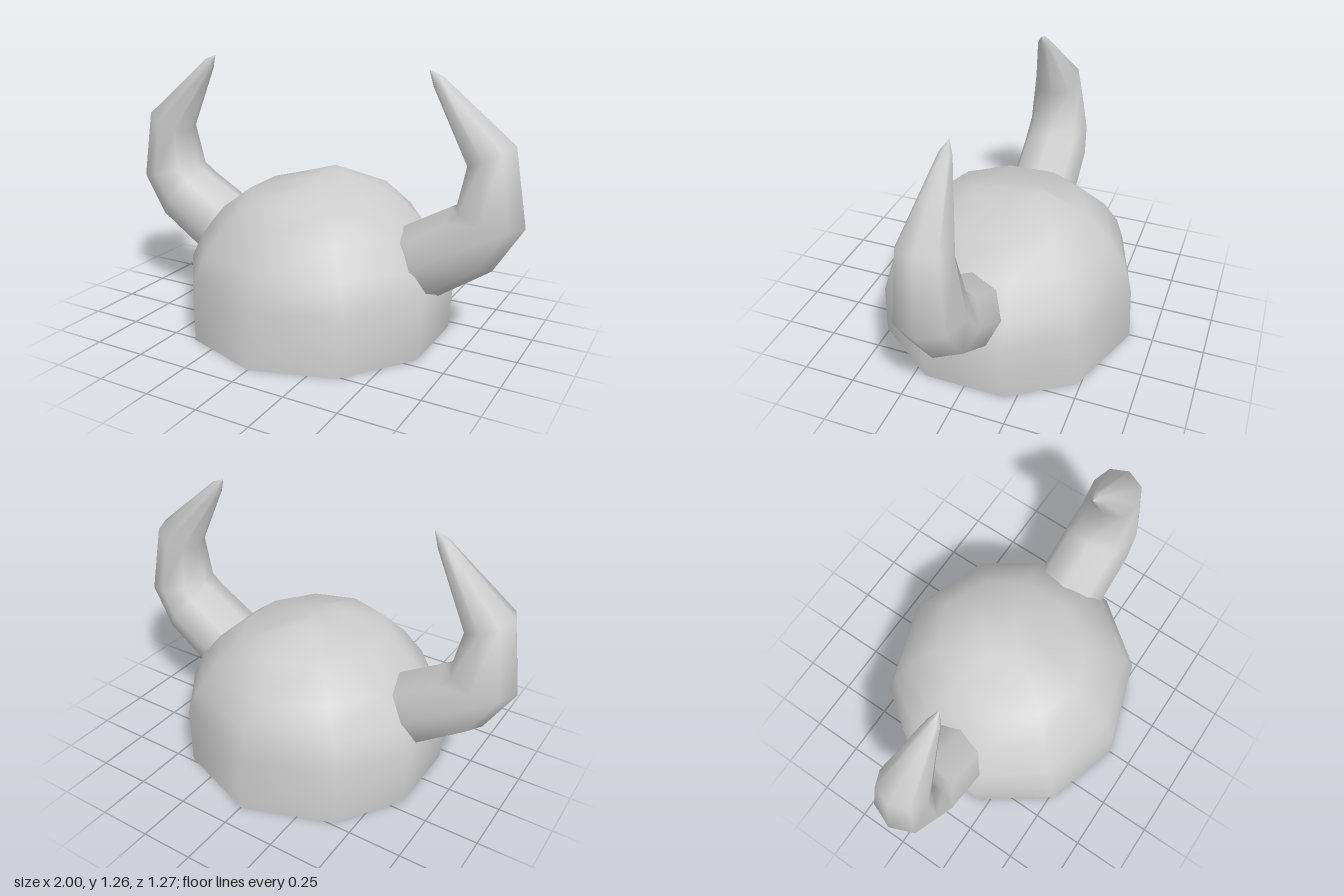
import * as THREE from 'three';
import { toCreasedNormals } from 'three/addons/utils/BufferGeometryUtils.js';

// Skin a list of equal-length vertex rings, skipping collapsed triangles.
function loft(rings) {
  const pos = [];
  const tri = (a, b, c) => {
    const n = b.clone().sub(a).cross(c.clone().sub(a));
    if (n.length() > 1e-8) for (const p of [a, b, c]) pos.push(p.x, p.y, p.z);
  };
  for (let i = 0; i < rings.length - 1; i++) {
    const lo = rings[i], hi = rings[i + 1], n = lo.length;
    for (let j = 0; j < n; j++) {
      const k = (j + 1) % n;
      tri(lo[j], lo[k], hi[k]);
      tri(lo[j], hi[k], hi[j]);
    }
  }
  const geo = new THREE.BufferGeometry();
  geo.setAttribute('position', new THREE.Float32BufferAttribute(pos, 3));
  return toCreasedNormals(geo, 1.1);
}

// Ten-sided dome: [front y, back y, front z, back z, half width, ridge drop]
const DOME = [
  [0, 0, 0.635, 0.635, 0.605, 0],
  [0.27, 0.27, 0.615, 0.62, 0.625, 0],
  [0.4, 0.4, 0.56, 0.585, 0.565, 0],
  [0.54, 0.53, 0.46, 0.51, 0.46, 0],
  [0.64, 0.66, 0.365, 0.38, 0.32, 0],
  [0.7, 0.74, 0.17, 0.165, 0.12, 0.2],
  [0.722, 0.722, 0, 0, 0, 0],
];
const DOME_ANGLES = [0, 36, 72, 108, 140, 180, 220, 252, 288, 324];

function domeRing([yf, yb, zf, zb, w, drop], wall) {
  const shrink = 1 - wall / 0.63;
  return DOME_ANGLES.map((deg) => {
    const a = THREE.MathUtils.degToRad(deg), c = Math.cos(a);
    const x = (Math.sin(a) * w) / Math.sin(Math.PI * 0.4);
    const y = THREE.MathUtils.lerp(yb, yf, (c + 1) / 2) - drop * Math.abs(x);
    return new THREE.Vector3(x * shrink, y * shrink, c * (c > 0 ? zf : zb) * shrink);
  });
}

// Horn sections: [outer x, outer y, inner x, inner y, centre z, half depth]
const HORN = [
  [0.54, 0.4, 0.54, 0.4, 0.01, 0],
  [0.605, 0.23, 0.42, 0.53, 0.01, 0.175],
  [0.635, 0.25, 0.45, 0.55, 0.01, 0.178],
  [0.865, 0.41, 0.66, 0.67, 0.015, 0.175],
  [0.998, 0.625, 0.695, 0.69, 0.02, 0.16],
  [0.94, 0.975, 0.735, 0.87, 0.03, 0.125],
  [0.615, 1.24, 0.575, 1.19, 0.04, 0.03],
  [0.552, 1.263, 0.552, 1.263, 0.04, 0],
];
// Collapsed start section sits in the middle of the base cap.
HORN[0].splice(0, 4, 0.5125, 0.38, 0.5125, 0.38);

function hornRing([ox, oy, ix, iy, z, depth], side) {
  return Array.from({ length: 8 }, (_, j) => {
    const a = (j / 8) * Math.PI * 2, t = (1 + Math.cos(a)) / 2;
    return new THREE.Vector3(
      side * THREE.MathUtils.lerp(ix, ox, t),
      THREE.MathUtils.lerp(iy, oy, t),
      z - side * Math.sin(a) * depth
    );
  });
}

export function createModel() {
  const group = new THREE.Group();
  group.name = 'hornedHelmet';
  const material = new THREE.MeshStandardMaterial({ color: 0xcccccc });
  const add = (name, geometry) => {
    const mesh = new THREE.Mesh(geometry, material);
    mesh.name = name;
    group.add(mesh);
  };

  // Shell: inner wall downwards, around the rim, then up the outside
  const inner = DOME.map((s) => domeRing(s, 0.02)).reverse();
  const outer = DOME.map((s) => domeRing(s, 0));
  add('dome', loft([...inner, ...outer]));

  // Curved horns, one on each side
  add('leftHorn', loft(HORN.map((s) => hornRing(s, 1))));
  add('rightHorn', loft(HORN.map((s) => hornRing(s, -1))));
  return group;
}
